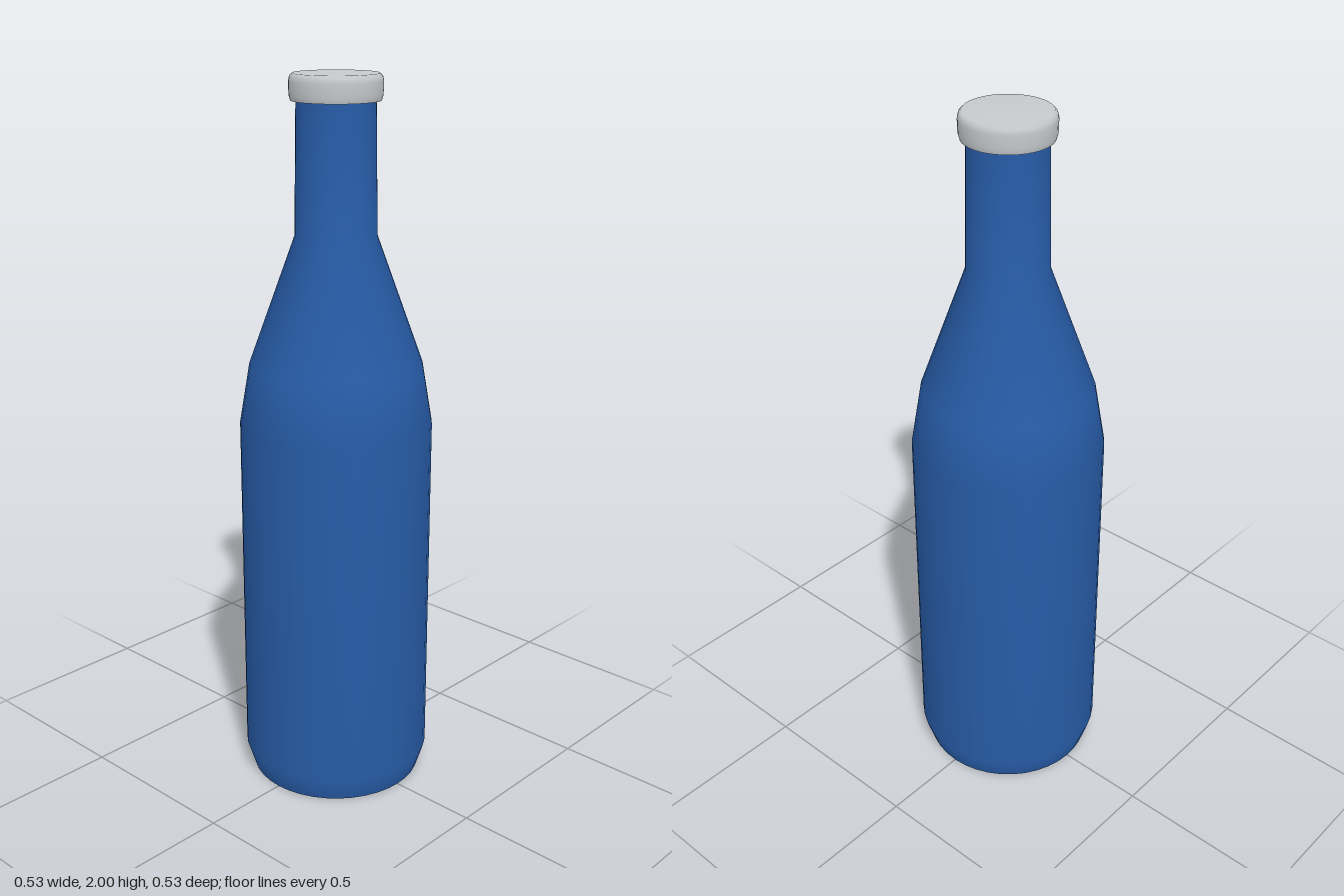
import * as THREE from 'three';

const SEGMENTS = 40;

// Surface of revolution from [radius, height] pairs listed bottom to top
function lathe(name, points, material) {
  const profile = points.map(([r, y]) => new THREE.Vector2(r, y));
  const mesh = new THREE.Mesh(new THREE.LatheGeometry(profile, SEGMENTS), material);
  mesh.name = name;
  return mesh;
}

export function createModel() {
  const blueGlass = new THREE.MeshStandardMaterial({ color: 0x275ba6 });
  blueGlass.name = 'blue glass';
  const paleMetal = new THREE.MeshStandardMaterial({ color: 0xc6cacd });
  paleMetal.name = 'pale metal';

  const bottle = new THREE.Group();
  bottle.name = 'bottle';

  // Chamfered foot, straight body, two-step shoulder and slightly tapering neck
  bottle.add(lathe('bottleBody', [
    [0.245, 0], [0.267, 0.07], [0.267, 1.06], [0.238, 1.23],
    [0.111, 1.58], [0.105, 1.95],
  ], blueGlass));

  // Flat underside, kept separate for a sharp rim
  bottle.add(lathe('bottleBase', [[0, 0], [0.245, 0]], blueGlass));

  // Cap: flat underside, then a softly rounded rim and top
  bottle.add(lathe('capUnderside', [[0, 1.931], [0.119, 1.931]], paleMetal));
  bottle.add(lathe('cap', [
    [0.119, 1.931], [0.123, 1.945], [0.124, 1.98],
    [0.121, 1.993], [0.114, 2], [0, 2],
  ], paleMetal));

  return bottle;
}
